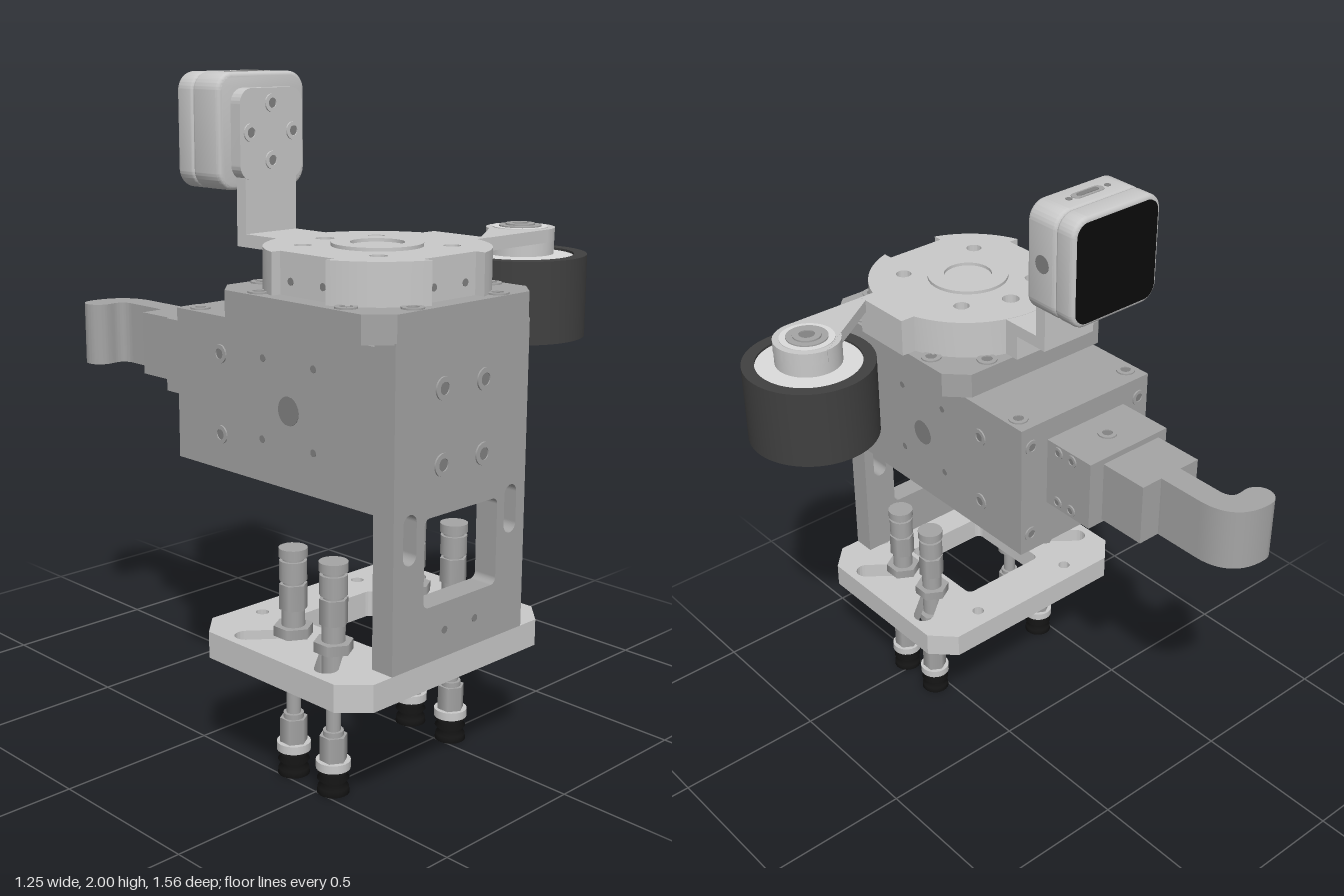
import * as THREE from 'three';
import { toCreasedNormals } from 'three/addons/utils/BufferGeometryUtils.js';

const CX = -0.21, CZ = 0.445; // axis of the turret and base

export function createModel() {
  const root = new THREE.Group();
  const mat = (name, color) => Object.assign(new THREE.MeshStandardMaterial({ color }), { name });
  const light = mat('light metal', 0xc9c9c9);
  const mid = mat('grey metal', 0xa5a5a5);
  const pale = mat('pale hub', 0xdcdcdc);
  const socket = mat('socket grey', 0x828282);
  const roller = mat('roller rubber', 0x404040);
  const black = mat('black rubber', 0x151515);
  const screenBlack = mat('screen black', 0x0a0a0a);

  const add = (name, geo, m, parent = root) => {
    const mesh = new THREE.Mesh(geo, m);
    mesh.name = name;
    parent.add(mesh);
    return mesh;
  };
  // box from min and max corners
  const box = (name, m, x0, x1, y0, y1, z0, z1) =>
    add(name, new THREE.BoxGeometry(x1 - x0, y1 - y0, z1 - z0), m)
      .position.set((x0 + x1) / 2, (y0 + y1) / 2, (z0 + z1) / 2);
  // upright cylinder between two heights
  const cyl = (name, m, x, z, r, y0, y1, sides = 32, parent = root, rTop = r) => {
    const c = add(name, new THREE.CylinderGeometry(rTop, r, y1 - y0, sides), m, parent);
    c.position.set(x, (y0 + y1) / 2, z);
    return c;
  };
  const extrude = (shape, depth, extra = {}) => new THREE.ExtrudeGeometry(shape,
    { depth, bevelEnabled: false, curveSegments: 20, ...extra });
  // plan outline in x, z raised from y0 to y1
  const plan = (name, m, shape, y0, y1) =>
    add(name, toCreasedNormals(extrude(shape, y1 - y0).rotateX(Math.PI / 2).translate(0, y1, 0), 0.5), m);
  const poly = (pts) => new THREE.Shape(pts.map(p => new THREE.Vector2(...p)));
  const chamfered = (x0, x1, z0, z1, c) => poly([[x0 + c, z0], [x1 - c, z0], [x1, z0 + c], [x1, z1 - c],
    [x1 - c, z1], [x0 + c, z1], [x0, z1 - c], [x0, z0 + c]]);
  const circle = (x, y, r) => new THREE.Path().absarc(x, y, r, 0, Math.PI * 2);
  const roundRect = (Type, x0, x1, y0, y1, r) => {
    const s = new Type();
    s.absarc(x1 - r, y1 - r, r, 0, Math.PI / 2);
    s.absarc(x0 + r, y1 - r, r, Math.PI / 2, Math.PI);
    s.absarc(x0 + r, y0 + r, r, Math.PI, Math.PI * 1.5);
    s.absarc(x1 - r, y0 + r, r, Math.PI * 1.5, Math.PI * 2);
    s.closePath();
    return s;
  };
  // slot between two points
  const slot = (ax, ay, bx, by, r) => {
    const a = Math.atan2(by - ay, bx - ax), s = new THREE.Path();
    s.absarc(bx, by, r, a - Math.PI / 2, a + Math.PI / 2);
    s.absarc(ax, ay, r, a + Math.PI / 2, a + Math.PI * 1.5);
    s.closePath();
    return s;
  };
  // socket screw and plain hole lying on a face with the given normal
  const up = new THREE.Vector3(0, 1, 0);
  const onFace = (mesh, p, n) => {
    mesh.position.set(...p);
    mesh.quaternion.setFromUnitVectors(up, new THREE.Vector3(...n));
  };
  const hole = (p, n, r) => onFace(add('hole', new THREE.CylinderGeometry(r, r, 0.003, 20), socket), p, n);
  const screw = (p, n, r, m = mid) => {
    const pts = [[r, 0], [r, 0.005], [r * 0.55, 0.005], [r * 0.55, 0.001]].map(q => new THREE.Vector2(...q));
    onFace(add('screw head', toCreasedNormals(new THREE.LatheGeometry(pts, 20), 0.5), m), p, n);
    hole(p, n, r * 0.55);
  };
  const F = [0, 0, 1], B = [0, 0, -1], U = [0, 1, 0], D = [0, -1, 0];

  // base plate with window and slanted slots
  const base = chamfered(-0.625, 0.205, 0.11, 0.775, 0.075);
  base.holes.push(roundRect(THREE.Path, -0.37, -0.05, 0.27, 0.6, 0.02));
  for (const sx of [-1, 1]) for (const sz of [-1, 1]) {
    base.holes.push(slot(CX + sx * 0.355, CZ + sz * 0.165, CX + sx * 0.255, CZ + sz * 0.085, 0.034));
    base.holes.push(circle(CX + sx * 0.2, CZ + sz * 0.27, 0.02));
  }
  plan('base plate', light, base, 0.35, 0.43);

  // front column
  const col = poly([[-0.48, 0.43], [0.06, 0.43], [0.06, 1.34], [-0.48, 1.34]]);
  col.holes.push(roundRect(THREE.Path, -0.36, -0.06, 0.59, 0.845, 0.02));
  for (const x of [-0.417, -0.003]) col.holes.push(slot(x, 0.755, x, 0.845, 0.026));
  add('front column', extrude(col, 0.075).translate(0, 0, 0.7), mid);
  for (const x of [-0.293, -0.127]) {
    for (const y of [0.985, 1.195]) screw([x, y, 0.775], F, 0.033);
    hole([x < CX ? -0.273 : -0.147, 0.51, 0.775], F, 0.011);
  }

  // gripper body
  box('gripper body', mid, -0.475, 0.055, 0.865, 1.32, -0.12, 0.7);
  for (const x of [-0.435, 0.015]) {
    screw([x, 1.32, -0.06], U, 0.03);
    screw([x, 0.865, -0.06], D, 0.025);
    screw([x, 0.865, 0.6], D, 0.025);
    for (const y of [0.93, 1.25]) screw([x, y, -0.12], B, 0.025);
  }
  for (const [x, s] of [[-0.475, -1], [0.055, 1]]) {
    const n = [s, 0, 0];
    hole([x, 1.09, 0.365], n, 0.042);
    for (const y of [0.97, 1.21]) screw([x, y, 0.075], n, 0.028);
    for (const [z, y] of [[0.465, 0.99], [0.255, 0.99], [0.26, 1.225], [0.465, 1.225]]) hole([x, y, z], n, 0.011);
  }

  // gripper neck, jaw block and hook
  box('gripper neck', mid, -0.37, -0.05, 1.02, 1.25, -0.31, -0.12);
  box('jaw spacer', mid, -0.285, -0.135, 1.05, 1.23, -0.33, -0.3);
  box('jaw block', mid, -0.325, -0.095, 1.04, 1.24, -0.485, -0.32);
  screw([CX, 1.25, -0.215], U, 0.03);
  for (const [x, s] of [[-0.37, -1], [-0.05, 1]])
    for (const y of [1.045, 1.225]) for (const z of [-0.17, -0.23]) screw([x, y, z], [s, 0, 0], 0.02);
  const hook = new THREE.Shape();
  hook.moveTo(-0.25, -0.48);
  hook.lineTo(-0.25, -0.64);
  hook.bezierCurveTo(-0.25, -0.68, -0.27, -0.69, -0.3, -0.685);
  hook.absarc(-0.315, -0.733, 0.049, Math.PI / 2, Math.PI * 1.5);
  hook.bezierCurveTo(-0.22, -0.785, -0.17, -0.73, -0.17, -0.64);
  hook.lineTo(-0.17, -0.48);
  plan('gripper hook', mid, hook, 1.04, 1.24);

  // mounting plate on top of the column
  plan('mounting plate', mid, chamfered(-0.54, 0.12, 0.11, 0.775, 0.065), 1.335, 1.415);
  for (const sx of [-1, 1]) for (const sz of [-1, 1]) {
    screw([CX + sx * 0.17, 1.415, CZ + sz * 0.295], U, 0.032);
    screw([CX + sx * 0.29, 1.415, CZ + sz * 0.17], U, 0.032);
  }

  // turret disc, notched at the front and right
  const R = 0.32, w = 0.105, a = Math.asin(w / R), q = Math.PI / 2;
  const disc = new THREE.Shape();
  disc.absarc(CX, CZ, R, Math.PI + a, Math.PI * 2 + q - a);
  disc.lineTo(CX + w, 0.715);
  disc.lineTo(CX - w, 0.715);
  disc.absarc(CX, CZ, R, q + a, Math.PI - a);
  disc.lineTo(-0.48, CZ + w);
  disc.lineTo(-0.48, CZ - w);
  disc.closePath();
  for (const sx of [-1, 1]) for (const sz of [-1, 1]) disc.holes.push(circle(CX + sx * 0.147, CZ + sz * 0.147, 0.025));
  disc.holes.push(circle(CX, 0.235, 0.028));
  plan('turret disc', light, disc, 1.415, 1.535);
  const ring = new THREE.Shape().absarc(CX, CZ, 0.13, 0, Math.PI * 2);
  ring.holes.push(circle(CX, CZ, 0.077));
  plan('turret ring', light, ring, 1.53, 1.545);
  for (const s of [-1, 1]) {
    hole([CX + s * 0.063, 1.455, 0.715], F, 0.011);
    hole([-0.48, 1.455, CZ + s * 0.063], [-1, 0, 0], 0.011);
  }

  // roller arm
  const RX = 0.415;
  box('roller arm root', light, 0.05, 0.14, 1.415, 1.535, CZ - w, CZ + w);
  const arm = new THREE.Shape();
  arm.moveTo(0.1, CZ - w);
  arm.absarc(RX, CZ, w, -q, q);
  arm.lineTo(0.1, CZ + w);
  plan('roller arm', light, arm, 1.495, 1.5345);
  cyl('roller boss', light, RX, CZ, w - 0.001, 1.455, 1.534);
  cyl('boss cap', pale, RX, CZ, 0.085, 1.53, 1.537);
  cyl('boss washer', mid, RX, CZ, 0.065, 1.53, 1.541);
  screw([RX, 1.541, CZ], U, 0.045);

  // roller
  const tyre = new THREE.Shape().absarc(RX, CZ, 0.205, 0, Math.PI * 2);
  tyre.holes.push(circle(RX, CZ, 0.165));
  add('roller tyre', toCreasedNormals(extrude(tyre, 0.25, { curveSegments: 40 })
    .rotateX(q).translate(0, 1.455, 0), 0.5), roller);
  cyl('roller hub', pale, RX, CZ, 0.166, 1.215, 1.448, 48);
  cyl('lower bearing', mid, RX, CZ, 0.085, 1.205, 1.22);
  cyl('roller shaft', mid, RX, CZ, 0.031, 1.15, 1.21, 20);

  // camera bracket: side profile in -z, y swept across x
  const bracket = poly([[-0.2, 1.415], [-0.09, 1.415], [-0.09, 1.495], [0.035, 1.495], [0.035, 1.72],
    [-0.005, 1.72], [-0.005, 1.534], [-0.2, 1.534]]);
  add('camera bracket', extrude(bracket, 0.2).rotateY(q).translate(CX - 0.1, 0, 0), light);
  add('camera back plate', toCreasedNormals(extrude(roundRect(THREE.Shape, -0.33, -0.085, 1.69, 1.955, 0.045), 0.042)
    .translate(0, 0, -0.036), 0.5), light);
  for (const [x, y] of [[0, 0.083], [0, -0.083], [0.083, 0], [-0.083, 0]]) screw([-0.207 + x, 1.828 + y, 0.006], F, 0.027, light);

  // camera body in two shells with a seam
  const shell = (name, z0, z1) => {
    const b = 0.012;
    const s = roundRect(THREE.Shape, -0.377 + b, -0.037 - b, 1.66 + b, 2.0 - b, 0.045);
    add(name, toCreasedNormals(extrude(s, z1 - z0 - 2 * b,
      { bevelEnabled: true, bevelSize: b, bevelThickness: b, bevelSegments: 3 }).translate(0, 0, z0 + b), 0.6), light);
  };
  shell('camera rear shell', -0.225, -0.152);
  shell('camera front shell', -0.154, -0.035);
  add('camera screen', extrude(roundRect(THREE.Shape, -0.362, -0.052, 1.675, 1.985, 0.04), 0.005)
    .translate(0, 0, -0.229), screenBlack);
  const port = roundRect(THREE.Shape, -0.265, -0.149, -0.117, -0.081, 0.0175);
  plan('camera port', mid, port, 1.999, 2.002);
  plan('camera port opening', socket, roundRect(THREE.Shape, -0.247, -0.167, -0.108, -0.09, 0.0085), 2.0, 2.004);
  for (const s of [-1, 1]) hole([CX + s * 0.075, 2.0, -0.099], U, 0.01);
  hole([-0.037, 1.83, -0.1], [1, 0, 0], 0.028);

  // suction cup posts: [radius, bottom, top, sides]
  const post = [[0.05, 0.075, 0.1, 24], [0.041, 0.1, 0.175, 6], [0.03, 0.175, 0.19, 16], [0.021, 0.19, 0.29, 16],
    [0.043, 0.28, 0.33, 16], [0.058, 0.328, 0.35, 6], [0.058, 0.43, 0.46, 6], [0.034, 0.35, 0.52, 16],
    [0.042, 0.51, 0.585, 6], [0.03, 0.58, 0.6, 16], [0.04, 0.595, 0.655, 16], [0.031, 0.65, 0.67, 16], [0.042, 0.665, 0.692, 20]];
  const cup = [[0.034, 0.078], [0.046, 0.066], [0.036, 0.055], [0.047, 0.044], [0.036, 0.032], [0.045, 0.018], [0.047, 0],
    [0.04, 0], [0.012, 0.03], [0, 0.03]].reverse().map(p => new THREE.Vector2(...p));
  for (const x of [-0.46, 0.04]) for (const z of [0.365, 0.53]) {
    const g = new THREE.Group();
    g.name = 'suction cup post';
    g.position.set(x, 0, z);
    root.add(g);
    for (const [r, y0, y1, n] of post) cyl('post fitting', r === 0.05 ? light : mid, 0, 0, r, y0, y1, n, g);
    add('suction cup', new THREE.LatheGeometry(cup, 24), black, g);
  }
  return root;
}
